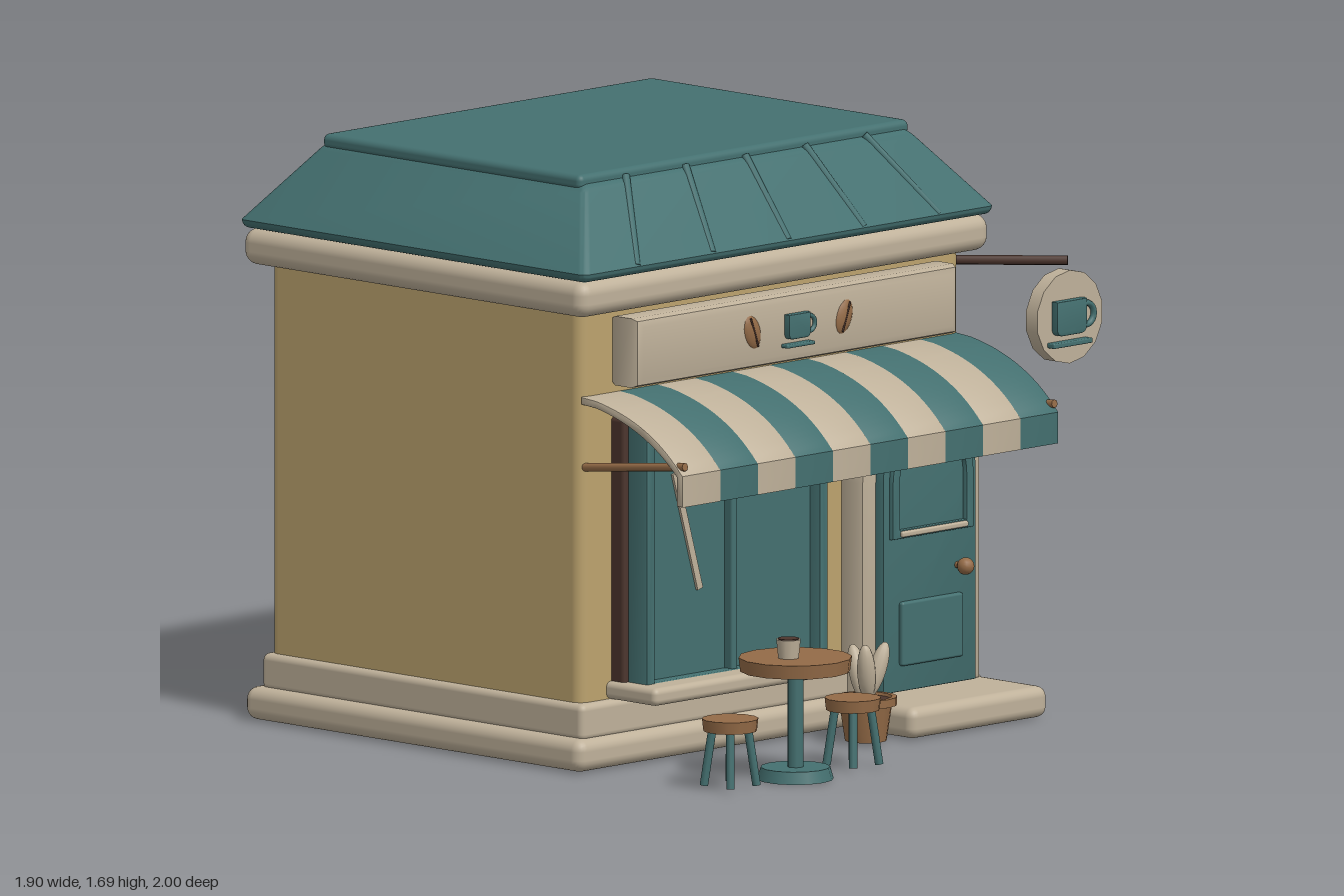
import * as THREE from 'three';
import { toCreasedNormals } from 'three/addons/utils/BufferGeometryUtils.js';
import { RoundedBoxGeometry } from 'three/addons/geometries/RoundedBoxGeometry.js';

const paint = (name, color) => Object.assign(new THREE.MeshStandardMaterial({ color }), { name });
const teal = paint('teal', 0x447070);
const trim = paint('cream trim', 0xbfb19a);
const wall = paint('mustard wall', 0xbca36e);
const wood = paint('wood', 0x946b47);
const dark = paint('dark wood', 0x4c352d);

const CX = -0.113, CZ = -0.315; // centre of the building

function add(parent, name, geo, mat, x = 0, y = 0, z = 0) {
  const m = new THREE.Mesh(geo, mat);
  m.name = name;
  m.position.set(x, y, z);
  parent.add(m);
  return m;
}
function group(parent, name, x = 0, y = 0, z = 0) {
  const g = new THREE.Group();
  g.name = name;
  g.position.set(x, y, z);
  parent.add(g);
  return g;
}
// rounded block given by its limits on each axis
function block(parent, name, mat, [x0, x1], [y0, y1], [z0, z1], r = 0.01) {
  const geo = new RoundedBoxGeometry(x1 - x0, y1 - y0, z1 - z0, 3, r);
  return add(parent, name, geo, mat, (x0 + x1) / 2, (y0 + y1) / 2, (z0 + z1) / 2);
}
function rod(parent, name, mat, a, b, r, sides = 8) {
  const p = new THREE.Vector3(...a), q = new THREE.Vector3(...b);
  const d = q.clone().sub(p);
  const m = add(parent, name, new THREE.CylinderGeometry(r, r, d.length(), sides), mat);
  m.position.copy(p).add(q).multiplyScalar(0.5);
  m.quaternion.setFromUnitVectors(new THREE.Vector3(0, 1, 0), d.normalize());
  return m;
}
function extrude(shape, depth, bevel = 0) {
  const geo = new THREE.ExtrudeGeometry(shape, {
    depth: depth - bevel, bevelEnabled: bevel > 0, bevelThickness: bevel,
    bevelSize: bevel, bevelOffset: -bevel, bevelSegments: 2, curveSegments: 16,
  });
  return toCreasedNormals(geo, 0.6);
}
function arch(half, y0, top) {
  const s = new THREE.Shape();
  s.moveTo(-half, y0);
  s.lineTo(half, y0);
  s.lineTo(half, top - half);
  s.absarc(0, top - half, half, 0, Math.PI);
  s.closePath();
  return s;
}
function frameShape(w, h, t) {
  const rect = (P, a, b) => new P([[-a, -b], [a, -b], [a, b], [-a, b]].map(p => new THREE.Vector2(...p)));
  const s = rect(THREE.Shape, w / 2, h / 2);
  s.holes.push(rect(THREE.Path, w / 2 - t, h / 2 - t));
  return s;
}
// flat cup with handle and saucer, s wide
function cupEmblem(parent, s, x, y, z) {
  const g = group(parent, 'cupEmblem', x, y, z);
  const c = new THREE.Shape();
  c.moveTo(-s * 0.5, s * 0.4);
  c.lineTo(-s * 0.5, -s * 0.25);
  c.quadraticCurveTo(-s * 0.48, -s * 0.42, -s * 0.3, -s * 0.42);
  c.lineTo(s * 0.3, -s * 0.42);
  c.quadraticCurveTo(s * 0.48, -s * 0.42, s * 0.5, -s * 0.25);
  c.lineTo(s * 0.5, s * 0.4);
  add(g, 'emblemCup', extrude(c, 0.025, 0.004), teal);
  add(g, 'emblemHandle', new THREE.TorusGeometry(s * 0.26, s * 0.075, 8, 20), teal, s * 0.56, 0, 0.012);
  block(g, 'emblemSaucer', teal, [-s * 0.65, s * 0.65], [-s * 0.68, -s * 0.56], [0, 0.03], 0.004);
}

function buildShell(root) {
  const g = group(root, 'building');
  block(g, 'walls', wall, [-0.89, 0.66], [0.05, 1.36], [-0.935, 0.305], 0.035);
  block(g, 'lowerPlinth', trim, [-0.945, 0.72], [0.005, 0.1], [-0.99, 0.355], 0.035);
  block(g, 'upperPlinth', trim, [-0.91, 0.68], [0.09, 0.197], [-0.95, 0.33], 0.02);
  block(g, 'cornice', trim, [-0.95, 0.722], [1.32, 1.425], [-0.995, 0.37], 0.04);
  block(g, 'doorStep', trim, [0.13, 0.69], [0.005, 0.095], [0.3, 0.63], 0.03);

  // roof: rounded block drawn in towards the top
  const roof = new RoundedBoxGeometry(1.675, 0.25, 1.38, 3, 0.025);
  const p = roof.attributes.position;
  for (let i = 0; i < p.count; i++) {
    const t = Math.max(0, (p.getY(i) + 0.1) / 0.225);
    p.setX(i, p.getX(i) * (1 - 0.212 * t));
    p.setZ(i, p.getZ(i) * (1 - 0.254 * t));
  }
  add(g, 'roof', toCreasedNormals(roof, 0.6), teal, CX, 1.55, -0.31);
  block(g, 'roofCap', teal, [-0.785, 0.56], [1.652, 1.697], [-0.83, 0.2], 0.018);
  for (let i = -2; i <= 2; i++)
    rod(g, 'roofRib', teal, [CX + i * 0.308, 1.45, 0.37], [CX + i * 0.243, 1.675, 0.2], 0.012);
}

function buildSignBoard(root) {
  const g = group(root, 'signBoard');
  const s = new THREE.Shape();
  s.moveTo(-0.655, -0.1);
  s.lineTo(0.655, -0.1);
  s.lineTo(0.655, 0.1);
  s.lineTo(-0.655, 0.1);
  add(g, 'board', extrude(s, 0.09, 0.025), trim, -0.115, 1.205, 0.325);
  cupEmblem(g, 0.088, -0.127, 1.212, 0.41);
  for (const side of [-1, 1]) {
    const bean = add(g, 'coffeeBean', new THREE.SphereGeometry(1, 14, 10), wood, -0.115 + side * 0.187, 1.212, 0.408);
    bean.scale.set(0.034, 0.055, 0.018);
    bean.rotation.z = -side * 0.35;
    const seam = rod(g, 'beanSeam', dark, [0, -0.045, 0], [0, 0.045, 0], 0.003, 6);
    seam.position.set(bean.position.x, 1.212, 0.424);
    seam.rotation.z = -side * 0.35;
  }
}

function buildAwning(root) {
  const g = group(root, 'awning');
  // profile: curved canopy running down into a hanging valance
  const s = new THREE.Shape();
  s.moveTo(0.3, 1.082);
  s.lineTo(0.36, 1.077);
  s.quadraticCurveTo(0.57, 1.04, 0.69, 0.915);
  s.lineTo(0.705, 0.9);
  s.lineTo(0.705, 0.81);
  s.lineTo(0.68, 0.81);
  s.lineTo(0.68, 0.895);
  s.quadraticCurveTo(0.56, 1.015, 0.36, 1.055);
  s.lineTo(0.3, 1.06);
  const w = 0.153;
  const geo = extrude(s, w, 0.004).rotateY(-Math.PI / 2);
  for (let i = 0; i < 10; i++)
    add(g, 'awningStripe', geo, i % 2 ? teal : trim, -0.88 + w * (i + 1) - 0.004, 0, 0);
  for (const x of [-0.868, 0.638])
    rod(g, 'awningArm', wood, [x, 0.877, 0.3], [x, 0.925, 0.7], 0.012);
}

function buildFrontWindow(root) {
  const g = group(root, 'frontWindow');
  block(g, 'windowSurround', dark, [-0.765, 0.01], [0.2, 1.01], [0.28, 0.355], 0.012);
  add(g, 'windowFrame', extrude(frameShape(0.74, 0.78, 0.035), 0.09, 0.008), teal, -0.377, 0.605, 0.34);
  add(g, 'windowGlass', new THREE.BoxGeometry(0.7, 0.74, 0.04), teal, -0.377, 0.605, 0.37);
  block(g, 'windowMullion', teal, [-0.39, -0.365], [0.24, 0.97], [0.36, 0.42], 0.008);
  block(g, 'windowSill', trim, [-0.785, 0.03], [0.197, 0.248], [0.29, 0.5], 0.018);
  const shine = add(g, 'glassShine', new THREE.BoxGeometry(0.022, 0.36, 0.008), trim, -0.547, 0.665, 0.394);
  shine.rotation.z = 0.285;
}

function buildSideWindow(root) {
  const g = group(root, 'sideWindow', 0.66, 0.73, -0.31);
  g.rotation.y = Math.PI / 2; // local +x runs towards -z
  block(g, 'sideSurround', dark, [-0.35, 0.35], [-0.3, 0.305], [-0.02, 0.04], 0.012);
  add(g, 'sideFrame', extrude(frameShape(0.67, 0.585, 0.045), 0.075, 0.01), trim, 0, 0, 0.035);
  add(g, 'sideGlass', new THREE.BoxGeometry(0.6, 0.52, 0.03), teal, 0, 0, 0.045);
  block(g, 'uprightBar', trim, [-0.013, 0.013], [-0.27, 0.27], [0.04, 0.095], 0.008);
  block(g, 'crossBar', trim, [-0.31, 0.31], [0.015, 0.04], [0.04, 0.095], 0.008);
  block(g, 'sideSill', trim, [-0.37, 0.37], [-0.35, -0.285], [0.02, 0.185], 0.02);
  const shine = add(g, 'sideShine', new THREE.BoxGeometry(0.022, 0.26, 0.008), trim, -0.148, 0.035, 0.066);
  shine.rotation.z = 0.27;
}

function buildDoor(root) {
  const g = group(root, 'door', 0.416, 0, 0);
  add(g, 'doorSurround', extrude(arch(0.243, 0.09, 0.955), 0.09, 0.02), trim, 0, 0, 0.3);
  add(g, 'doorLeaf', extrude(arch(0.19, 0.1, 0.9), 0.06, 0.006), teal, 0, 0, 0.36);
  const ring = arch(0.165, 0.545, 0.87);
  ring.holes.push(arch(0.135, 0.57, 0.84));
  add(g, 'doorLightFrame', extrude(ring, 0.02, 0.005), teal, 0, 0, 0.415);
  block(g, 'doorBar', trim, [-0.135, 0.135], [0.55, 0.567], [0.41, 0.445], 0.006);
  block(g, 'doorPanel', teal, [-0.125, 0.125], [0.175, 0.36], [0.41, 0.434], 0.008);
  add(g, 'doorKnob', new THREE.SphereGeometry(0.025, 14, 10), wood, 0.11, 0.44, 0.455);
  rod(g, 'knobStem', wood, [0.11, 0.44, 0.41], [0.11, 0.44, 0.45], 0.01);
}

function buildHangingSign(root) {
  const g = group(root, 'hangingSign');
  rod(g, 'signBracket', dark, [0.635, 1.295, 0.31], [0.85, 1.295, 0.545], 0.014);
  const disc = add(g, 'signDisc', new THREE.CylinderGeometry(0.135, 0.135, 0.045, 14), trim, 0.82, 1.14, 0.56);
  disc.rotation.x = Math.PI / 2;
  cupEmblem(g, 0.122, 0.808, 1.143, 0.58);
}

function buildPlant(root) {
  const g = group(root, 'pottedPlant', 0.022, 0, 0.55);
  const pot = [[0, 0.01], [0.06, 0.01], [0.075, 0.11], [0.09, 0.113], [0.09, 0.137], [0.075, 0.137], [0.07, 0.125], [0, 0.125]];
  const geo = new THREE.LatheGeometry(pot.map(q => new THREE.Vector2(...q)), 14);
  add(g, 'pot', toCreasedNormals(geo, 0.6), wood);
  add(g, 'soil', new THREE.CylinderGeometry(0.072, 0.072, 0.006, 14), dark, 0, 0.126, 0);
  for (const [x, y, z, rx, rz] of [[-0.018, 0.21, 0.02, 0.12, 0.2], [0.03, 0.21, 0.015, 0.1, -0.35], [0, 0.2, -0.03, -0.3, 0]]) {
    const leaf = add(g, 'leaf', new THREE.SphereGeometry(1, 12, 10), trim, x, y, z);
    leaf.scale.set(0.028, 0.085, 0.026);
    leaf.rotation.set(rx, 0, rz);
  }
}

function buildSeating(root) {
  const t = group(root, 'table', -0.555, 0, 0.833);
  add(t, 'tableTop', new THREE.CylinderGeometry(0.163, 0.158, 0.04, 14), wood, 0, 0.335, 0);
  rod(t, 'tablePost', teal, [0, 0.02, 0], [0, 0.32, 0], 0.023, 10);
  add(t, 'tableBase', new THREE.CylinderGeometry(0.1, 0.11, 0.035, 14), teal, 0, 0.02, 0);
  add(t, 'tableCup', new THREE.CylinderGeometry(0.036, 0.03, 0.055, 12), trim, -0.028, 0.382, 0);
  add(t, 'coffee', new THREE.CylinderGeometry(0.031, 0.031, 0.004, 12), dark, -0.028, 0.41, 0);
  for (const x of [-0.805, -0.305]) {
    const s = group(root, 'stool', x, 0, 0.818);
    add(s, 'stoolSeat', new THREE.CylinderGeometry(0.081, 0.077, 0.035, 14), wood, 0, 0.188, 0);
    for (let i = 0; i < 4; i++) {
      const a = Math.PI / 4 + i * Math.PI / 2, c = Math.cos(a), d = Math.sin(a);
      rod(s, 'stoolLeg', teal, [c * 0.075, 0.012, d * 0.075], [c * 0.05, 0.18, d * 0.05], 0.012);
    }
  }
}

export function createModel() {
  const root = new THREE.Group();
  root.name = 'cafe';
  for (const build of [buildShell, buildSignBoard, buildAwning, buildFrontWindow, buildSideWindow,
    buildDoor, buildHangingSign, buildPlant, buildSeating]) build(root);
  return root;
}
